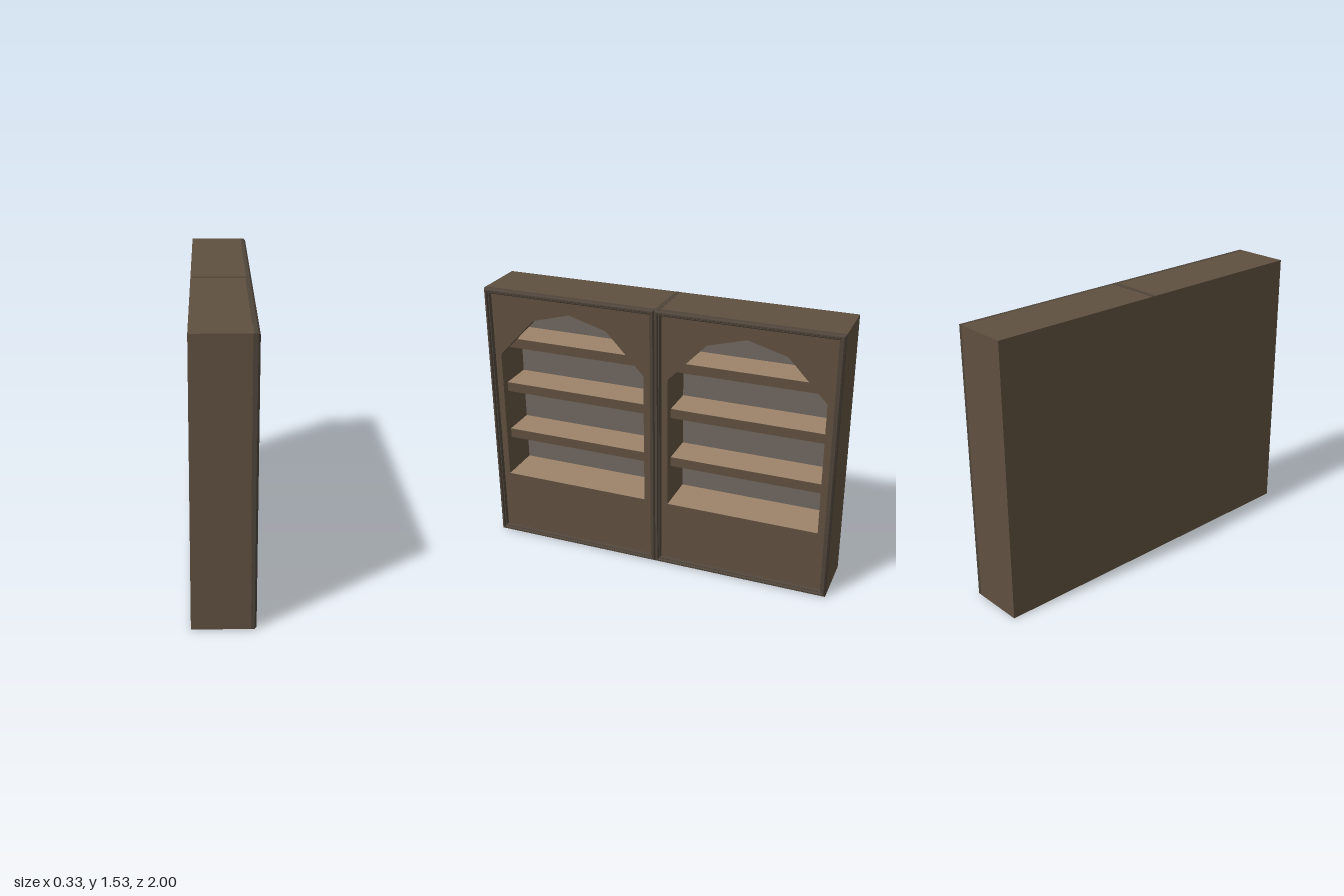
import * as THREE from 'three';

const H = 1.53, BACK = -0.163, FACE = 0.14;
const wood = new THREE.MeshStandardMaterial({ color: 0x5f503f });
const darkWood = new THREE.MeshStandardMaterial({ color: 0x4e443a });
const lightWood = new THREE.MeshStandardMaterial({ color: 0x9c836a });
const lining = new THREE.MeshStandardMaterial({ color: 0x6e665f });

// Box given by its min and max corners
function box(name, x0, x1, y0, y1, z0, z1, material = wood) {
  const mesh = new THREE.Mesh(new THREE.BoxGeometry(x1 - x0, y1 - y0, z1 - z0), material);
  mesh.position.set((x0 + x1) / 2, (y0 + y1) / 2, (z0 + z1) / 2);
  mesh.name = name;
  return mesh;
}

// Light upper surface laid on a board
function boardTop(name, x0, x1, y, width) {
  const mesh = new THREE.Mesh(new THREE.PlaneGeometry(x1 - x0, width).rotateX(-Math.PI / 2), lightWood);
  mesh.position.set((x0 + x1) / 2, y + 0.001, 0);
  mesh.name = name;
  return mesh;
}

// Mitred moulding: a profile of [inset, x] swept around the bay rectangle
function moulding() {
  const profile = [[0, 0.13], [0, 0.153], [0.008, 0.163], [0.016, 0.163], [0.021, 0.153], [0.026, 0.153], [0.034, FACE]];
  const corner = (k, [d, x]) => {
    const z = (k === 0 || k === 3 ? 1 : -1) * (0.5 - d);
    return [x, k < 2 ? d : H - d, z];
  };
  const pos = [];
  for (let k = 0; k < 4; k++) {
    const n = (k + 1) % 4;
    for (let i = 0; i < profile.length - 1; i++) {
      const a = corner(k, profile[i]), b = corner(n, profile[i]);
      const c = corner(n, profile[i + 1]), d = corner(k, profile[i + 1]);
      pos.push(...a, ...b, ...c, ...a, ...c, ...d);
    }
  }
  const geo = new THREE.BufferGeometry();
  geo.setAttribute('position', new THREE.Float32BufferAttribute(pos, 3));
  geo.computeVertexNormals();
  const mesh = new THREE.Mesh(geo, darkWood);
  mesh.name = 'frameMoulding';
  return mesh;
}

// Front panel with a faceted arch opening
function archPanel() {
  const shape = new THREE.Shape([[-0.48, 0.02], [0.48, 0.02], [0.48, H - 0.02], [-0.48, H - 0.02]]
    .map(p => new THREE.Vector2(...p)));
  shape.holes.push(new THREE.Path([[-0.43, 0.385], [-0.43, 1.145], [-0.215, 1.37], [0, 1.43],
    [0.215, 1.37], [0.43, 1.145], [0.43, 0.385]].map(p => new THREE.Vector2(...p))));
  const geo = new THREE.ExtrudeGeometry(shape, { depth: 0.045, bevelEnabled: false });
  geo.rotateY(Math.PI / 2).translate(FACE - 0.045, 0, 0);
  const mesh = new THREE.Mesh(geo, wood);
  mesh.name = 'archPanel';
  return mesh;
}

function bay() {
  const g = new THREE.Group();
  const front = FACE - 0.005;
  // Hollow carcass
  g.add(box('sideWall', BACK, front, 0, H, 0.43, 0.5));
  g.add(box('sideWall', BACK, front, 0, H, -0.5, -0.43));
  g.add(box('base', BACK, front, 0, 0.385, -0.43, 0.43));
  g.add(box('roof', BACK, front, 1.45, H, -0.43, 0.43));
  g.add(box('backWall', BACK, -0.102, 0.385, 1.45, -0.43, 0.43));
  g.add(box('backLining', -0.102, -0.1, 0.385, 1.45, -0.43, 0.43, lining));
  g.add(boardTop('ledgeTop', -0.1, FACE, 0.385, 0.86));
  // Shelves
  for (const y of [0.605, 0.9, 1.175]) {
    g.add(box('shelf', -0.1, 0.094, y, y + 0.054, -0.43, 0.43));
    g.add(boardTop('shelfTop', -0.1, 0.094, y + 0.054, 0.86));
  }
  g.add(archPanel(), moulding());
  return g;
}

export function createModel() {
  const model = new THREE.Group();
  model.name = 'doubleBookcase';
  for (const s of [1, -1]) {
    const b = bay();
    b.name = s > 0 ? 'leftBay' : 'rightBay';
    b.position.z = s * 0.5;
    model.add(b);
  }
  // Narrow joining strip between the bays
  model.add(box('joiningStrip', BACK + 0.001, 0.15, 0, H + 0.001, -0.026, 0, darkWood));
  return model;
}
